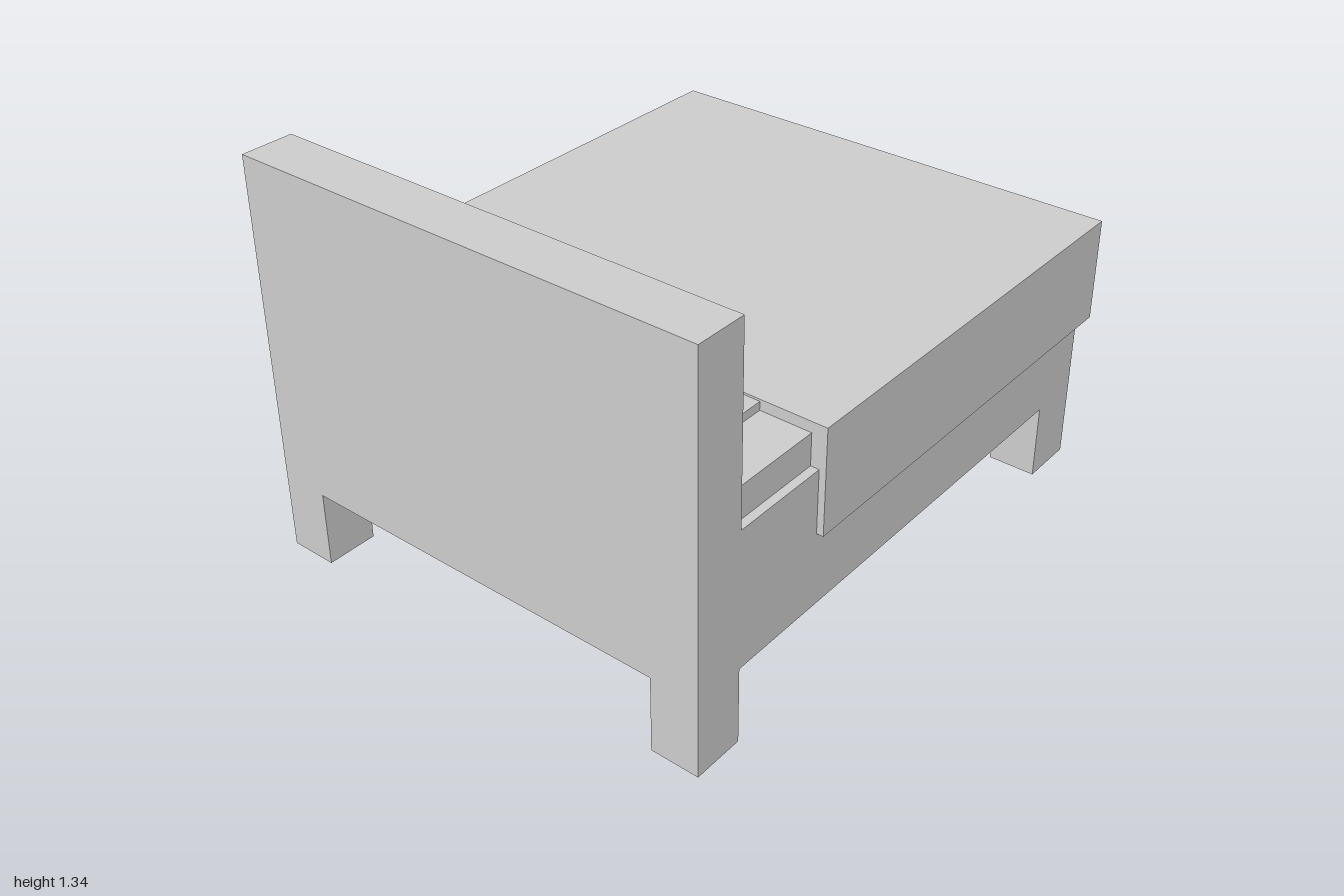
import * as THREE from 'three';

const material = new THREE.MeshStandardMaterial({ color: 0xcccccc, flatShading: true });

// Box given by its limits on each axis
function box(name, [x0, x1], [y0, y1], [z0, z1]) {
  const mesh = new THREE.Mesh(new THREE.BoxGeometry(x1 - x0, y1 - y0, z1 - z0), material);
  mesh.position.set((x0 + x1) / 2, (y0 + y1) / 2, (z0 + z1) / 2);
  mesh.name = name;
  return mesh;
}

export function createModel() {
  const bed = new THREE.Group();
  bed.name = 'bed';
  const halfWidth = 0.803, rail = 0.255, deck = 0.71;

  // Frame and headboard: one L-shaped side profile run across the width
  const profile = new THREE.Shape([
    [-1, rail], [0.948, rail], [0.948, deck], [-0.827, deck], [-0.827, 1.335], [-1, 1.335],
  ].map(([x, y]) => new THREE.Vector2(x, y)));
  const frameGeometry = new THREE.ExtrudeGeometry(profile, { depth: 2 * halfWidth, bevelEnabled: false });
  frameGeometry.translate(0, 0, -halfWidth);
  const frame = new THREE.Mesh(frameGeometry, material);
  frame.name = 'frameAndHeadboard';
  bed.add(frame);

  // Four corner legs
  for (const [side, z] of [['Left', [-halfWidth, -0.642]], ['Right', [0.642, halfWidth]]]) {
    bed.add(box('headLeg' + side, [-1, -0.827], [0, rail], z));
    bed.add(box('footLeg' + side, [0.76, 0.948], [0, rail], z));
  }

  // Mattress, with the blanket draped over its sides and foot
  bed.add(box('mattress', [-0.827, 0.94], [deck, 0.815], [-0.78, 0.775]));
  bed.add(box('blanket', [-0.492, 1], [0.5, 0.85], [-0.827, 0.825]));

  // Pillows tucked under the blanket
  bed.add(box('pillowLeft', [-0.658, -0.4], [0.8, 0.843], [-0.62, -0.105]));
  bed.add(box('pillowRight', [-0.658, -0.4], [0.8, 0.843], [0.09, 0.605]));

  return bed;
}
